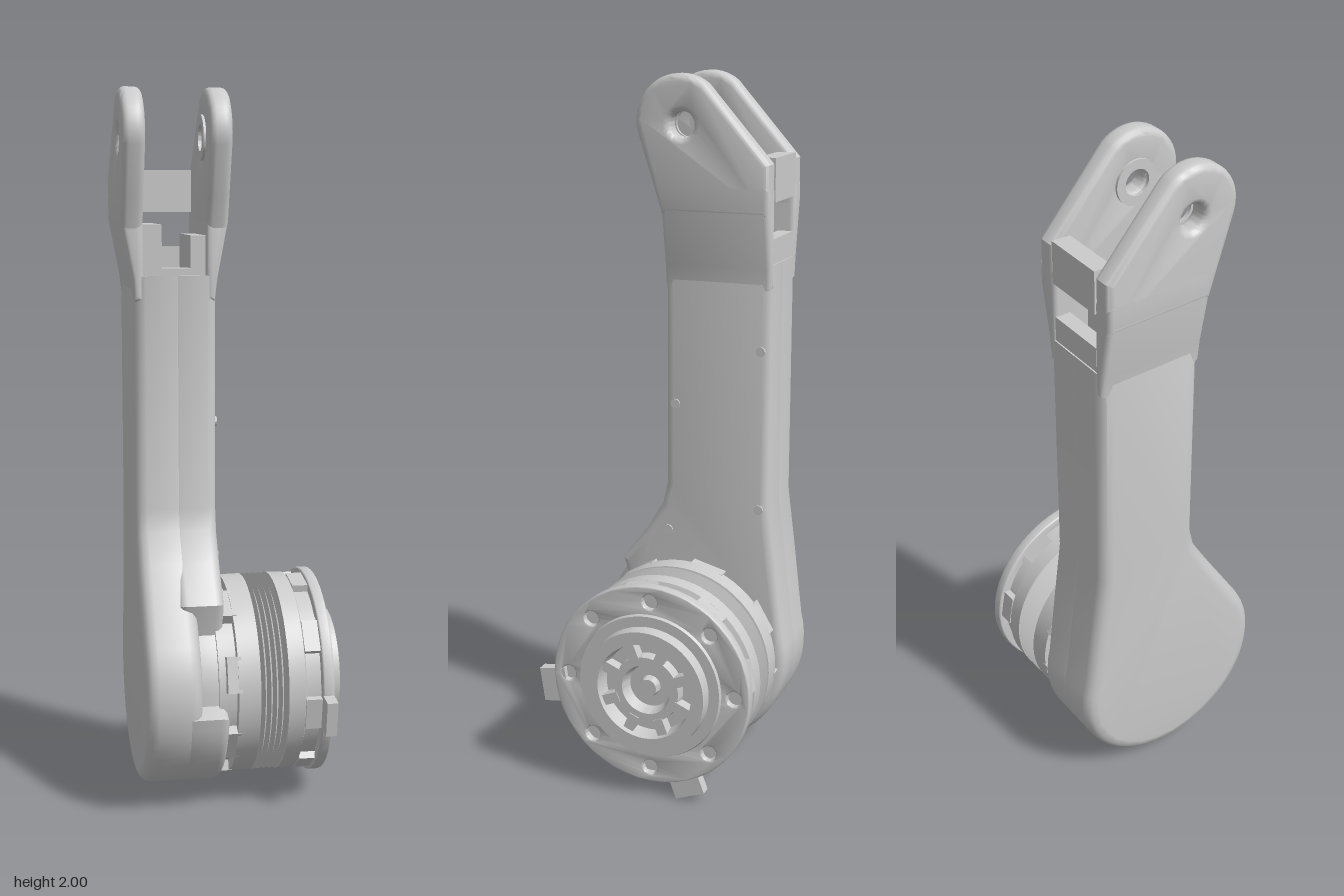
import * as THREE from 'three';
import { toCreasedNormals } from 'three/addons/utils/BufferGeometryUtils.js';

const material = new THREE.MeshStandardMaterial({ color: 0xcccccc, side: THREE.DoubleSide });
const AXIS_Y = 0.335, AXIS_Z = -0.018;
const rad = THREE.MathUtils.degToRad;

function part(name, geometry, crease = 0.6) {
  const mesh = new THREE.Mesh(toCreasedNormals(geometry, crease), material);
  mesh.name = name;
  return mesh;
}

function bevelled(shape, length, bevel) {
  return new THREE.ExtrudeGeometry(shape, {
    depth: length - 2 * bevel, bevelEnabled: bevel > 0, bevelThickness: bevel,
    bevelSize: bevel, bevelOffset: -bevel, bevelSegments: 3, curveSegments: 24,
  }).translate(0, 0, bevel);
}

// Side profile drawn in (-z, y), extruded from x0 to x1
function extrudeX(shape, x0, x1, bevel) {
  return bevelled(shape, x1 - x0, bevel).rotateY(Math.PI / 2).translate(x0, 0, 0);
}

function box(name, x0, x1, y0, y1, z0, z1) {
  const g = new THREE.BoxGeometry(x1 - x0, y1 - y0, z1 - z0);
  return part(name, g.translate((x0 + x1) / 2, (y0 + y1) / 2, (z0 + z1) / 2));
}

const toShape = (pts) => new THREE.Shape(pts.map((p) => new THREE.Vector2(p[0], p[1])));

function arc(cx, cy, r, from, to, steps) {
  return Array.from({ length: steps + 1 }, (_, i) => {
    const a = rad(from + ((to - from) * i) / steps);
    return [cx + r * Math.cos(a), cy + r * Math.sin(a)];
  });
}

// Tall link outline with a round foot; the inner half has a notch at the front
function linkShape(notched) {
  const u = -AXIS_Z;
  const foot = notched
    ? [...arc(u, AXIS_Y, 0.302, 15, -172, 30), ...arc(u, AXIS_Y, 0.245, -175, -222, 6), [-0.19, 0.59]]
    : arc(u, AXIS_Y, 0.302, 15, -210, 36);
  return toShape([
    [-0.05, 1.49], [0.262, 1.49], [0.262, 0.8], [0.285, 0.62], ...foot,
    [-0.115, 0.69], [-0.065, 0.775], [-0.05, 0.84],
  ]);
}

// Fork lug with a round nose, sloped back and pin hole
function lugShape() {
  const s = toShape([
    [0.262, 1.62], [0.262, 1.765], ...arc(0, 1.875, 0.125, 52, 195, 18), [-0.075, 1.7], [-0.05, 1.62],
  ]);
  s.holes.push(new THREE.Path().absarc(0.01, 1.865, 0.035, 0, Math.PI * 2, true));
  return s;
}

function ringShape(outer, inner) {
  const s = new THREE.Shape().absarc(0, 0, outer, 0, Math.PI * 2, false);
  s.holes.push(new THREE.Path().absarc(0, 0, inner, 0, Math.PI * 2, true));
  return s;
}

function latheX(points, segments = 64) {
  const pts = points.map(([x, r]) => new THREE.Vector2(r, x));
  return new THREE.LatheGeometry(pts, segments).rotateZ(-Math.PI / 2);
}

function createLink() {
  const g = new THREE.Group();
  g.name = 'link';
  g.add(part('outerShell', extrudeX(linkShape(false), -0.267, -0.11, 0.035)));
  g.add(part('innerShell', extrudeX(linkShape(true), -0.165, -0.035, 0.025)));
  // Small screws along the inner side
  for (const [y, z] of [[0.79, -0.235], [1.25, -0.235], [1.08, 0.018], [0.7, 0.04]]) {
    const screw = new THREE.CylinderGeometry(0.014, 0.014, 0.012, 10).rotateZ(Math.PI / 2);
    g.add(part('screw', screw.translate(-0.036, y, z)));
  }
  return g;
}

function createFork() {
  const g = new THREE.Group();
  g.name = 'fork';
  for (const side of [-1, 1]) {
    const X = (d) => -0.15 + side * d;
    // Flared root joining the link to the lug
    const root = toShape([
      [X(0.113), 1.42], [X(0.12), 1.48], [X(0.15), 1.64], [X(0.15), 1.7],
      [X(0.087), 1.7], [X(0.087), 1.42],
    ]);
    g.add(part('forkRoot', bevelled(root, 0.312, 0.014).translate(0, 0, -0.262)));
    const [x0, x1] = [X(0.15), X(0.087)].sort((a, b) => a - b);
    g.add(part('forkLug', extrudeX(lugShape(), x0, x1, 0.018)));
    // Raised pin seat on the inner face
    const [b0, b1] = [X(0.09), X(0.08)].sort((a, b) => a - b);
    const seat = extrudeX(ringShape(0.062, 0.036), b0, b1, 0);
    g.add(part('pinSeat', seat.translate(0, 1.865, -0.01)));
  }
  // Cross bar, lower rear wall and inner blocks around the open slot
  g.add(box('crossBar', -0.24, -0.06, 1.66, 1.78, -0.262, -0.21));
  g.add(box('rearWall', -0.24, -0.06, 1.46, 1.56, -0.258, -0.215));
  g.add(box('innerBlock', -0.24, -0.185, 1.46, 1.63, -0.16, 0.04));
  g.add(box('innerBlock', -0.105, -0.06, 1.46, 1.6, -0.16, 0.035));
  g.add(box('slotStep', -0.185, -0.105, 1.46, 1.51, -0.02, 0.04));
  return g;
}

function createJoint() {
  const g = new THREE.Group();
  g.name = 'rotaryJoint';
  g.position.set(0, AXIS_Y, AXIS_Z);

  // Drum with a pleated bellows in the middle
  const profile = [[-0.06, 0], [-0.06, 0.255], [-0.01, 0.255], [-0.01, 0.283], [0.052, 0.284]];
  for (let i = 0; i < 5; i++) {
    profile.push([0.056 + i * 0.016, 0.264], [0.064 + i * 0.016, 0.284]);
  }
  profile.push([0.131, 0.266], [0.131, 0.285], [0.178, 0.284], [0.184, 0.268], [0.24, 0.268], [0.24, 0.16]);
  g.add(part('drum', latheX(profile), 0.45));

  // Output flange with a ring of bolt holes
  const flange = ringShape(0.295, 0.16);
  for (let i = 0; i < 8; i++) {
    const a = (i * Math.PI) / 4;
    flange.holes.push(new THREE.Path().absarc(0.25 * Math.cos(a), 0.25 * Math.sin(a), 0.022, 0, Math.PI * 2, true));
  }
  g.add(part('flange', extrudeX(flange, 0.225, 0.257, 0.004)));

  // Stepped hub with a deep recess and centre boss
  g.add(part('hub', latheX([
    [0.23, 0.225], [0.266, 0.21], [0.266, 0.18], [0.302, 0.177], [0.302, 0.14], [0.255, 0.132],
    [0.255, 0.1], [0.285, 0.096], [0.285, 0.072], [0.25, 0.062], [0.25, 0.03], [0.272, 0.025], [0.272, 0],
  ])));

  // Places a block at radius r, turned to an angle round the axis
  const radial = (name, deg, x0, x1, r0, r1, width) => {
    const m = box(name, x0, x1, r0, r1, -width / 2, width / 2);
    m.rotation.x = rad(deg);
    g.add(m);
  };
  radial('stopTab', 98.5, 0.225, 0.256, 0.26, 0.338, 0.1);
  radial('stopTab', 200.8, 0.225, 0.256, 0.26, 0.341, 0.09);
  for (let i = 0; i < 8; i++) {
    radial('hubRib', i * 45 + 22, 0.25, 0.288, 0.09, 0.14, 0.03);
    radial('rimLug', i * 45 + 10, 0.18, 0.23, 0.25, 0.284, 0.09);
    radial('baseLug', i * 45 + 30, -0.04, 0.0, 0.24, 0.28, 0.1);
  }
  return g;
}

export function createModel() {
  const model = new THREE.Group();
  model.name = 'robotArmLink';
  model.add(createLink(), createFork(), createJoint());
  return model;
}
